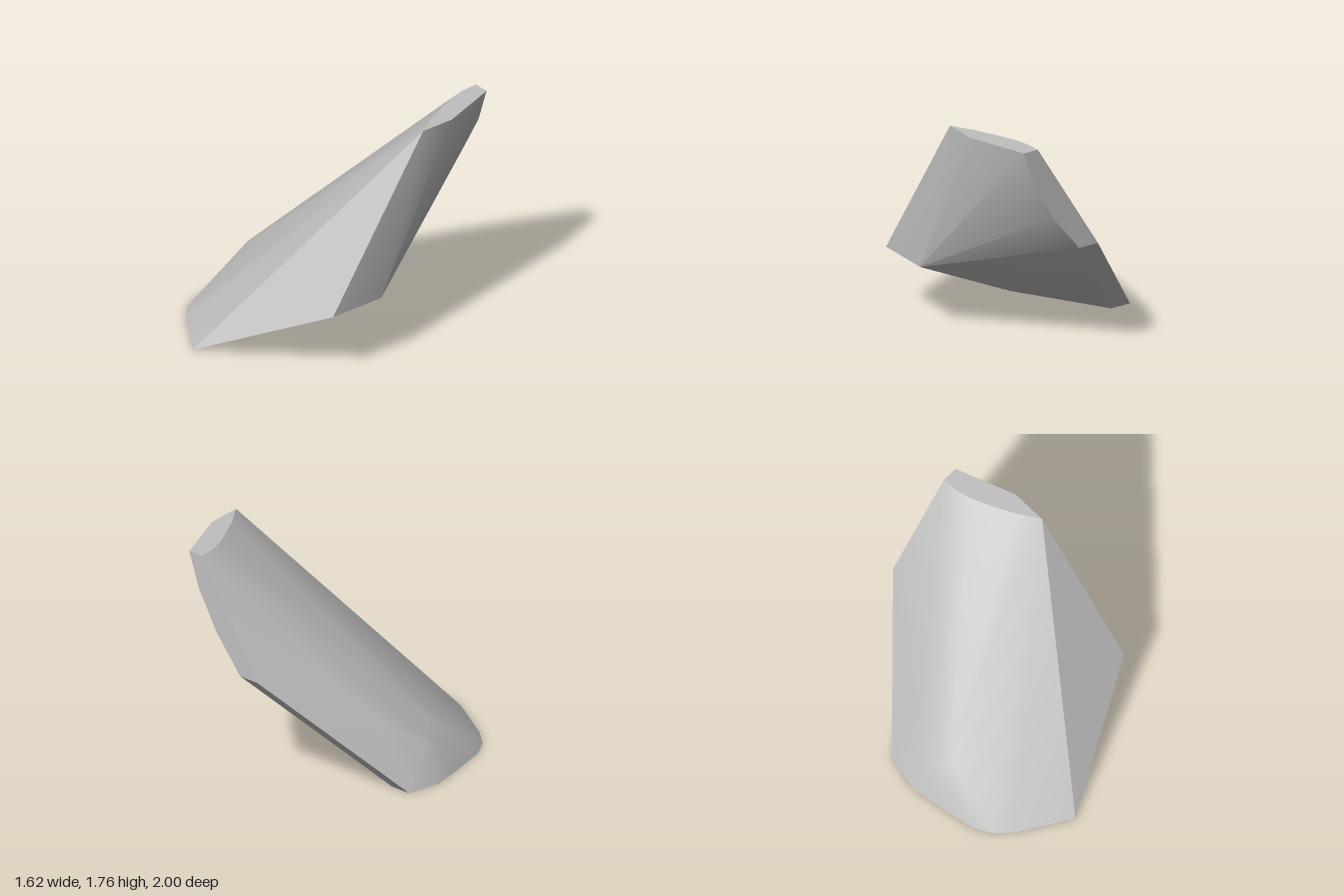
import * as THREE from 'three';
import { ConvexGeometry } from 'three/addons/geometries/ConvexGeometry.js';
import { toCreasedNormals } from 'three/addons/utils/BufferGeometryUtils.js';

export function createModel() {
  const group = new THREE.Group();
  group.name = 'rockShard';
  const stone = new THREE.MeshStandardMaterial({ color: 0xbfbfbf });
  stone.name = 'stone grey';

  // flat foot, as x, z at y = 0
  const foot = [[-0.17, 1], [-0.54, 0.77], [-0.66, 0.66], [-0.73, 0.53], [-0.79, 0.2],
    [-0.815, 0], [-0.75, -0.25], [-0.59, -0.25], [-0.17, 0.4]];
  // flat top, as x, z at y = 1.76
  const top = [[0.53, -1], [0.54, -0.87], [0.565, -0.77], [0.63, -0.62], [0.71, -0.46],
    [0.81, -0.3], [0.81, -0.56], [0.65, -1]];
  // curved rim of the flat back, as x, y at z = -1
  const back = [[0.02, 0.92], [0.18, 0.92], [0.4, 1.2], [0.56, 1.49]];
  // lower corners of the flat side, then the chipped lower shoulder
  const corners = [[0.81, 0.535, 0.515], [0.81, 0.535, 0.08],
    [-0.685, 0.285, 0.04], [-0.585, 0.4, 0.17], [-0.5, 0.47, -0.24]];

  const points = [
    ...foot.map(([x, z]) => new THREE.Vector3(x, 0, z)),
    ...top.map(([x, z]) => new THREE.Vector3(x, 1.76, z)),
    ...back.map(([x, y]) => new THREE.Vector3(x, y, -1)),
    ...corners.map((c) => new THREE.Vector3(...c)),
  ];

  // faceted body with soft shading across the shallow facets
  const body = new THREE.Mesh(toCreasedNormals(new ConvexGeometry(points), 0.4), stone);
  body.name = 'rockBody';
  group.add(body);
  return group;
}
